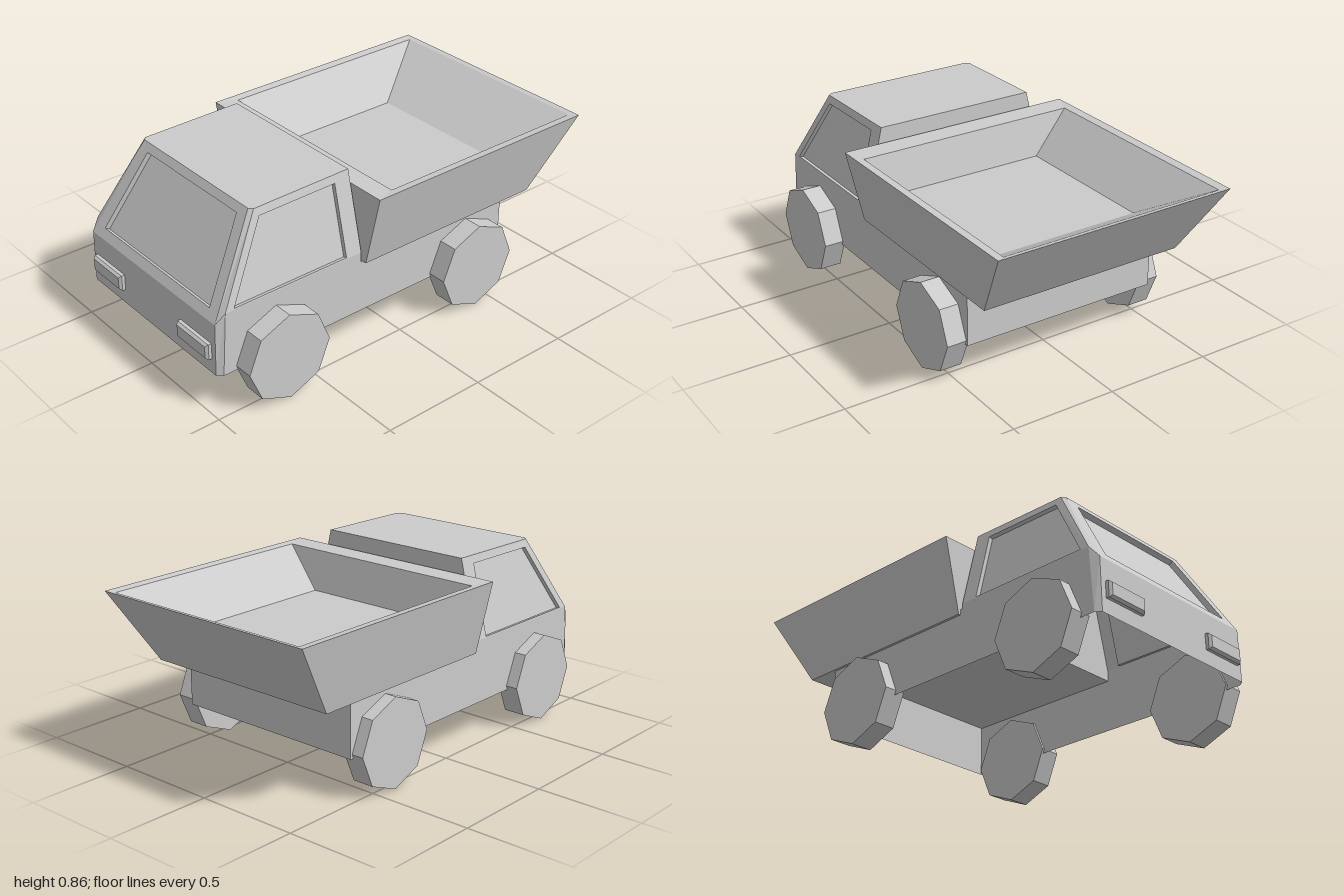
import * as THREE from 'three';

const material = new THREE.MeshStandardMaterial({ color: 0xcccccc, flatShading: true, side: THREE.DoubleSide });
const V = (x, y, z) => new THREE.Vector3(x, y, z);

// Mesh from convex polygons (lists of Vector3, counter-clockwise from outside)
function facets(name, polys) {
  const pts = [];
  for (const p of polys) for (let i = 1; i < p.length - 1; i++) pts.push(p[0], p[i], p[i + 1]);
  const geo = new THREE.BufferGeometry().setFromPoints(pts);
  geo.computeVertexNormals();
  const mesh = new THREE.Mesh(geo, material);
  mesh.name = name;
  return mesh;
}

const mirror = (polys) => polys.map((p) => p.map((v) => V(-v.x, v.y, v.z)).reverse());

// Quads joining two rings of equal length
const band = (a, b) => a.map((p, i) => {
  const j = (i + 1) % a.length;
  return [p, a[j], b[j], b[i]];
});

// Panel with a recessed window: frame, reveal and pane
function windowPanel(outer, hole, depth) {
  const n = V().subVectors(hole[1], hole[0]).cross(V().subVectors(hole[2], hole[0])).setLength(-depth);
  const pane = hole.map((p) => p.clone().add(n));
  return { frame: [...band(outer, hole), ...band(hole, pane)], pane: [pane] };
}

// Horizontal rectangle ring
const rect = (hw, z0, z1, y) => [V(-hw, y, z1), V(hw, y, z1), V(hw, y, z0), V(-hw, y, z0)];

function createBody() {
  const g = new THREE.Group();
  g.name = 'body';
  g.position.x = -0.004;
  const W = 0.482, F = 0.462, R = 0.392, RF = 0.375; // half widths: side, front, roof, roof front
  const zBack = -0.623, zCab = 0.217, zSide = 0.95, zFront = 0.975, zRoof = 0.725;
  const y0 = 0.19, yDeck = 0.44, ySill = 0.49, yRoof = 0.86, yRoofF = 0.853;

  const roofBack = V(R, yRoof, zCab), roofSide = V(R, yRoofF, zRoof - 0.015), roofFront = V(RF, yRoofF, zRoof);
  const sillBack = V(W, ySill, zCab), sillFront = V(W, ySill, zSide - 0.02), noseTop = V(F, yDeck, zFront - 0.005);

  // Sloping side and front panels with their windows
  const sx = (y) => W - (y - ySill) * (W - R) / (yRoof - ySill);
  const fz = (y) => noseTop.z - (y - yDeck) * (noseTop.z - zRoof) / (yRoofF - yDeck);
  const sideP = (y, z) => V(sx(y), y, z), frontP = (x, y) => V(x, y, fz(y));
  const side = windowPanel([sillFront, sillBack, roofBack, roofSide],
    [sideP(0.495, 0.885), sideP(0.495, 0.297), sideP(0.822, 0.297), sideP(0.818, 0.69)], 0.02);
  const front = windowPanel([V(-F, yDeck, noseTop.z), noseTop, roofFront, V(-RF, yRoofF, zRoof)],
    [frontP(-0.394, 0.48), frontP(0.394, 0.48), frontP(0.324, 0.818), frontP(-0.324, 0.818)], 0.025);

  // Lower wall, cab sill and bevelled front corner
  const half = [
    [V(W, y0, zSide), V(W, y0, zBack), V(W, yDeck, zBack), V(W, yDeck, zCab), sillBack, sillFront],
    [V(F, y0, zFront), V(W, y0, zSide), sillFront, noseTop],
    [noseTop, sillFront, roofSide, roofFront],
    ...side.frame,
  ];
  const m = (v) => V(-v.x, v.y, v.z);
  g.add(facets('shell', [
    ...half, ...mirror(half), ...front.frame,
    [V(-F, y0, zFront), V(F, y0, zFront), noseTop, m(noseTop)],
    [m(roofFront), roofFront, roofSide, roofBack, m(roofBack), m(roofSide)],
    [V(W, yDeck, zCab), V(-W, yDeck, zCab), m(sillBack), m(roofBack), roofBack, sillBack],
    [V(-W, yDeck, zCab), V(W, yDeck, zCab), V(W, yDeck, zBack), V(-W, yDeck, zBack)],
    [V(W, y0, zBack), V(-W, y0, zBack), V(-W, yDeck, zBack), V(W, yDeck, zBack)],
  ]));
  g.add(facets('windscreen', front.pane), facets('leftWindow', side.pane), facets('rightWindow', mirror(side.pane)));

  // Headlights with bevelled faces
  for (const s of [-1, 1]) {
    const ring = (w, h, z) => [[-1, -1], [1, -1], [1, 1], [-1, 1]]
      .map(([a, b]) => V(s * 0.325 + a * w, 0.298 + b * h, z));
    const base = ring(0.11, 0.038, 0.965), lip = ring(0.11, 0.038, 0.988), face = ring(0.1, 0.028, 1);
    g.add(facets(s > 0 ? 'leftHeadlight' : 'rightHeadlight', [...band(base, lip), ...band(lip, face), face]));
  }
  return g;
}

// Tipping bed: flared outside, sloping inside walls
function createBed() {
  const bottom = rect(0.497, -0.778, 0.206, 0.44);
  const rim = rect(0.58, -1, 0.206, 0.79);
  const lip = rect(0.54, -0.975, 0.107, 0.785);
  const floor = rect(0.35, -0.66, 0.064, 0.6);
  return facets('bed', [[...bottom].reverse(), ...band(bottom, rim), ...band(rim, lip), ...band(lip, floor), floor]);
}

export function createModel() {
  const model = new THREE.Group();
  model.name = 'dumpTruck';
  model.add(createBody(), createBed());

  // Eight-sided wheels
  const wheelGeo = new THREE.CylinderGeometry(0.21, 0.21, 0.104, 8).rotateZ(Math.PI / 2);
  for (const [end, z] of [['front', 0.676], ['rear', -0.404]]) {
    for (const [sideName, x] of [['Left', 0.518], ['Right', -0.492]]) {
      const wheel = new THREE.Mesh(wheelGeo, material);
      wheel.name = `${end}${sideName}Wheel`;
      wheel.position.set(x, 0.21, z);
      model.add(wheel);
    }
  }
  return model;
}
